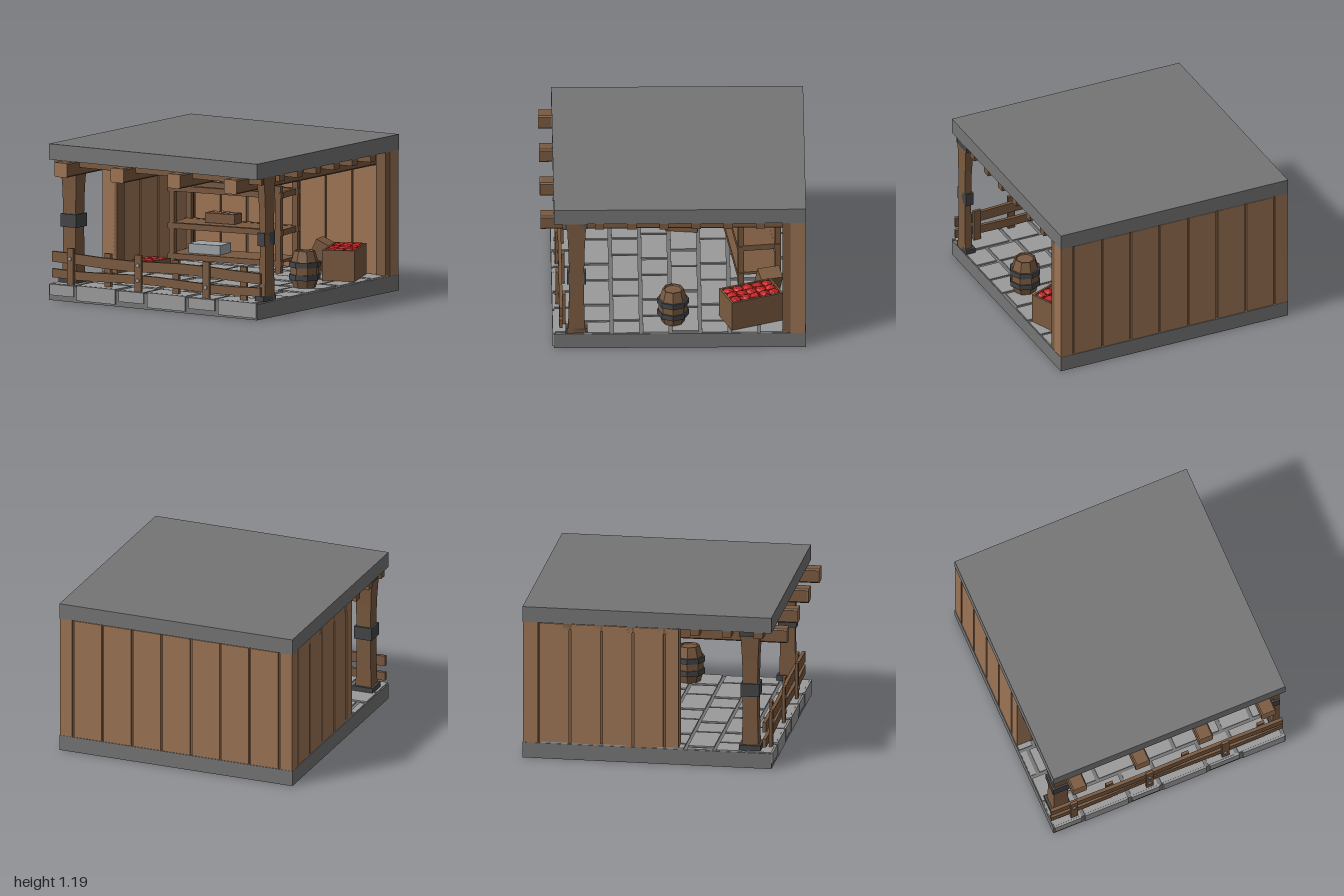
import * as THREE from 'three';

const material = (name, color) => {
  const m = new THREE.MeshStandardMaterial({ color });
  m.name = name;
  return m;
};

export function createModel() {
  const slabGrey = material('slab grey', 0x757575);
  const stone = material('paving stone', 0x9a9a9a);
  const lightWood = material('light wood', 0x9c7455);
  const darkWood = material('dark wood', 0x7a5a40);
  const iron = material('dark iron', 0x444547);
  const steel = material('pale steel', 0x9ea3a7);
  const red = material('red fruit', 0xc42222);

  const model = new THREE.Group();
  model.name = 'workshopStall';

  const group = (name, x = 0, y = 0, z = 0, ry = 0, parent = model) => {
    const g = new THREE.Group();
    g.name = name;
    g.position.set(x, y, z);
    g.rotation.y = ry;
    parent.add(g);
    return g;
  };
  // Faceted mesh
  const add = (name, geo, mat, x, y, z, parent = model) => {
    const flat = geo.index ? geo.toNonIndexed() : geo;
    flat.computeVertexNormals();
    const mesh = new THREE.Mesh(flat, mat);
    mesh.name = name;
    mesh.position.set(x, y, z);
    parent.add(mesh);
    return mesh;
  };
  // Box given by its limits on each axis
  const block = (name, mat, [x0, x1], [y0, y1], [z0, z1], parent = model) =>
    add(name, new THREE.BoxGeometry(x1 - x0, y1 - y0, z1 - z0), mat,
      (x0 + x1) / 2, (y0 + y1) / 2, (z0 + z1) / 2, parent);

  // Floor slab and roof
  block('floorSlab', slabGrey, [-0.95, 0.95], [0, 0.12], [-1, 0.9]);
  block('roof', slabGrey, [-0.95, 0.95], [1.07, 1.19], [-1, 0.9]);

  // Paving in staggered rows of short and long stones
  const paving = group('paving');
  const rowDepth = 0.222;
  for (let row = 0; row < 8; row++) {
    const z1 = 0.895 - row * rowDepth;
    let x = -0.94 - [0, 0.42, 0.18, 0.5][row % 4];
    for (let i = 0; x < 0.94; i++) {
      const w = i % 2 ? 0.355 : 0.22;
      const a = Math.max(x, -0.945), b = Math.min(x + w, 0.945);
      if (b - a > 0.03) {
        block('pavingStone', stone, [a, b], [0.118, i % 2 ? 0.131 : 0.127],
          [z1 - rowDepth + 0.025, z1], paving);
      }
      x += w + 0.028;
    }
  }
  // Stones on the front edge
  [[-0.94, -0.72], [-0.69, -0.34], [-0.31, -0.08], [-0.05, 0.3], [0.33, 0.57], [0.6, 0.945]]
    .forEach((span, i) => block('edgeStone', stone, span, i % 2 ? [0.015, 0.13] : [0.04, 0.124], [0.89, 0.91], paving));

  // Plank walls: dark core with planks showing on both faces
  const walls = group('walls');
  block('backWallCore', darkWood, [-0.94, 0.94], [0.12, 1.07], [-0.98, -0.9], walls);
  block('leftWallCore', darkWood, [-0.93, -0.85], [0.12, 1.07], [-0.98, 0.18], walls);
  for (let i = -3; i <= 3; i++) {
    block('backPlank', lightWood, [i * 0.24 - 0.112, i * 0.24 + 0.112], [0.12, 1.065], [-0.995, -0.885], walls);
  }
  for (const s of [-1, 1]) {
    block('cornerPlank', lightWood, s < 0 ? [-0.948, -0.848] : [0.848, 0.948], [0.12, 1.07], [-0.998, -0.882], walls);
  }
  for (let i = 0; i < 5; i++) {
    const z = -0.87 + i * 0.24;
    block('leftPlank', lightWood, [-0.945, -0.835], [0.12, 1.065], [z, Math.min(z + 0.224, 0.19)], walls);
  }
  block('leftEndPost', darkWood, [-0.85, -0.815], [0.12, 1.07], [0.09, 0.19], walls);
  block('rightEndPost', darkWood, [0.86, 0.945], [0.12, 1.07], [-0.882, -0.825], walls);

  // Roof beams with chamfered corners, plus cross joists
  const frame = group('roofFrame');
  const w = 0.058, h = 0.055, c = 0.01;
  const section = new THREE.Shape([[-w + c, -h], [w - c, -h], [w, -h + c], [w, h - c],
    [w - c, h], [-w + c, h], [-w, h - c], [-w, -h + c]].map(p => new THREE.Vector2(...p)));
  for (const x of [-0.775, -0.26, 0.257, 0.772]) {
    add('roofBeam', new THREE.ExtrudeGeometry(section, { depth: 1.88, bevelEnabled: false }), darkWood, x, 1.015, -0.885, frame);
    add('beamEnd', new THREE.ExtrudeGeometry(section, { depth: 0.005, bevelEnabled: false }), lightWood, x, 1.015, 0.995, frame);
  }
  for (let i = 0; i < 7; i++) {
    const z = 0.8 - i * 0.243;
    block('crossJoist', darkWood, [-0.945, 0.945], [1.02, 1.07], [z - 0.035, z + 0.035], frame);
  }

  // Front pillars; the right one is cut flush with the slab edge
  const pillarBox = (width, height, y0, flare) => {
    const g = new THREE.BoxGeometry(width, height, width, 1, flare ? 4 : 1, 1);
    const p = g.attributes.position;
    for (let i = 0; i < p.count; i++) {
      const t = p.getY(i) / height;
      const k = flare ? 0.9 + 1.1 * Math.max(0, t) ** 2 + 0.5 * Math.min(0, t) ** 2 : 1;
      p.setXYZ(i, p.getX(i) * k, p.getY(i) + y0 + height / 2, p.getZ(i) * k);
    }
    return g;
  };
  for (const [name, px] of [['leftPillar', -0.84], ['rightPillar', 0.955]]) {
    const pillar = group(name);
    [[0.125, 0.94, 0.13, true, darkWood], [0.142, 0.1, 0.55, false, iron],
      [0.165, 0.045, 1.027, false, iron], [0.165, 0.04, 0.128, false, iron]]
      .forEach(([width, height, y0, flare, mat], i) => {
        const g = pillarBox(width, height, y0, flare);
        const p = g.attributes.position;
        for (let v = 0; v < p.count; v++) p.setX(v, Math.min(0.95 - px, p.getX(v)));
        add(i ? 'pillarBand' : 'pillarShaft', g, mat, px, 0, 0.73, pillar);
      });
  }

  // Fence: posts alternate in front of and behind two crooked rails
  const fence = group('fence');
  for (let i = 0; i < 6; i++) {
    const x = -0.77 + i * 0.31, z = i % 2 ? 0.823 : 0.871;
    block('fencePost', darkWood, [x - 0.029, x + 0.029], [0.125, i % 2 ? 0.385 : 0.405], [z - 0.011, z + 0.011], fence);
  }
  [[0.318, 0.08, 0.0], [0.205, 0.066, 2.0]].forEach(([y, height, phase]) => {
    const g = new THREE.BoxGeometry(1.9, height, 0.026, 8, 1, 1);
    const p = g.attributes.position;
    for (let i = 0; i < p.count; i++) p.setY(i, p.getY(i) + 0.009 * Math.sin(p.getX(i) * 5 + phase));
    add('fenceRail', g, darkWood, 0, y, 0.847, fence);
  });
  for (const [x, y] of [[-0.77, 0.325], [-0.15, 0.325], [-0.15, 0.21], [0.47, 0.21]]) {
    add('bolt', new THREE.CylinderGeometry(0.016, 0.016, 0.012, 8).rotateX(Math.PI / 2), steel, x, y, 0.886, fence);
  }

  // Hanging lamp
  const lamp = group('lamp', 0, 0, -0.04);
  steel.side = THREE.DoubleSide;
  add('lampShade', new THREE.CylinderGeometry(0.015, 0.115, 0.055, 8, 1, true), steel, 0, 0.947, 0, lamp);
  add('lampStem', new THREE.CylinderGeometry(0.009, 0.009, 0.1, 6), steel, 0, 1.02, 0, lamp);
  add('lampBulb', new THREE.IcosahedronGeometry(0.02, 0), darkWood, 0, 0.915, 0, lamp);

  // Barrel
  const barrel = group('barrel', 0.77, 0.13, 0);
  const profile = [[0, 0], [0.085, 0], [0.11, 0.08], [0.11, 0.18], [0.08, 0.28], [0.07, 0.28], [0.065, 0.27], [0, 0.27]]
    .map(p => new THREE.Vector2(...p));
  add('barrelBody', new THREE.LatheGeometry(profile, 8), darkWood, 0, 0, 0, barrel);
  for (const y of [0.082, 0.178]) {
    add('barrelHoop', new THREE.CylinderGeometry(0.12, 0.12, 0.042, 8), iron, 0, y, 0, barrel);
  }

  // Open crates with lumpy contents
  const crate = (name, x, y, z, ry, [cw, ch, cd], fill, nx, nz) => {
    const g = group(name, x, y, z, ry);
    const t = 0.016;
    block('crateBase', darkWood, [-cw / 2, cw / 2], [0, t], [-cd / 2, cd / 2], g);
    for (const s of [-1, 1]) {
      add('crateSide', new THREE.BoxGeometry(t, ch, cd), darkWood, s * (cw - t) / 2, ch / 2, 0, g);
      add('crateEnd', new THREE.BoxGeometry(cw, ch, t), darkWood, 0, ch / 2, s * (cd - t) / 2, g);
    }
    add('crateFill', new THREE.BoxGeometry(cw - t, ch * 0.8, cd - t), fill, 0, ch * 0.5, 0, g);
    const sx = (cw - 2 * t) / nx, sz = (cd - 2 * t) / nz;
    for (let i = 0; i < nx * nz; i++) {
      const lump = add('lump', new THREE.IcosahedronGeometry(1, 0), fill,
        (i % nx - (nx - 1) / 2) * sx, ch - 0.008, (Math.floor(i / nx) - (nz - 1) / 2) * sz, g);
      lump.scale.set(sx * 0.6, 0.018 + (i % 3) * 0.003, sz * 0.6);
      lump.rotation.y = i * 1.3;
    }
    return g;
  };
  crate('largeCrate', 0.73, 0.13, -0.59, 0.38, [0.25, 0.235, 0.42], red, 3, 5);
  crate('smallCrate', -0.69, 0.13, -0.09, -0.12, [0.18, 0.085, 0.24], red, 2, 3);
  crate('shelfCrate', -0.38, 0.455, -0.6, 0.12, [0.25, 0.075, 0.12], lightWood, 4, 2);

  // Crate tipped against the back wall
  const tipped = add('tippedBox', new THREE.BoxGeometry(0.11, 0.25, 0.17), darkWood, 0.41, 0.255, -0.72);
  tipped.rotation.set(0, 0.3, -0.45);

  // Storage rack, set slightly askew
  const rack = group('rack', -0.28, 0, -0.6, 0.125);
  for (const x of [-0.45, 0.45]) {
    for (const z of [-0.14, 0.14]) {
      block('rackPost', darkWood, [x - 0.022, x + 0.022], [0.12, 0.79], [z - 0.022, z + 0.022], rack);
    }
    for (const y of [0.43, 0.715]) {
      block('rackSideRail', darkWood, [x - 0.015, x + 0.015], [y - 0.022, y + 0.022], [-0.16, 0.16], rack);
    }
  }
  for (const z of [-0.14, 0.14]) {
    for (const y of [0.2, 0.432, 0.717]) {
      block('rackRail', darkWood, [-0.48, 0.48], [y - 0.022, y + 0.022], [z - 0.014, z + 0.026], rack);
    }
  }
  for (const y of [0.21, 0.44]) {
    block('rackShelf', darkWood, [-0.46, 0.46], [y - 0.01, y + 0.012], [-0.14, 0.14], rack);
  }
  block('metalBlock', steel, [-0.34, -0.07], [0.222, 0.295], [-0.08, 0.1], rack);

  return model;
}
